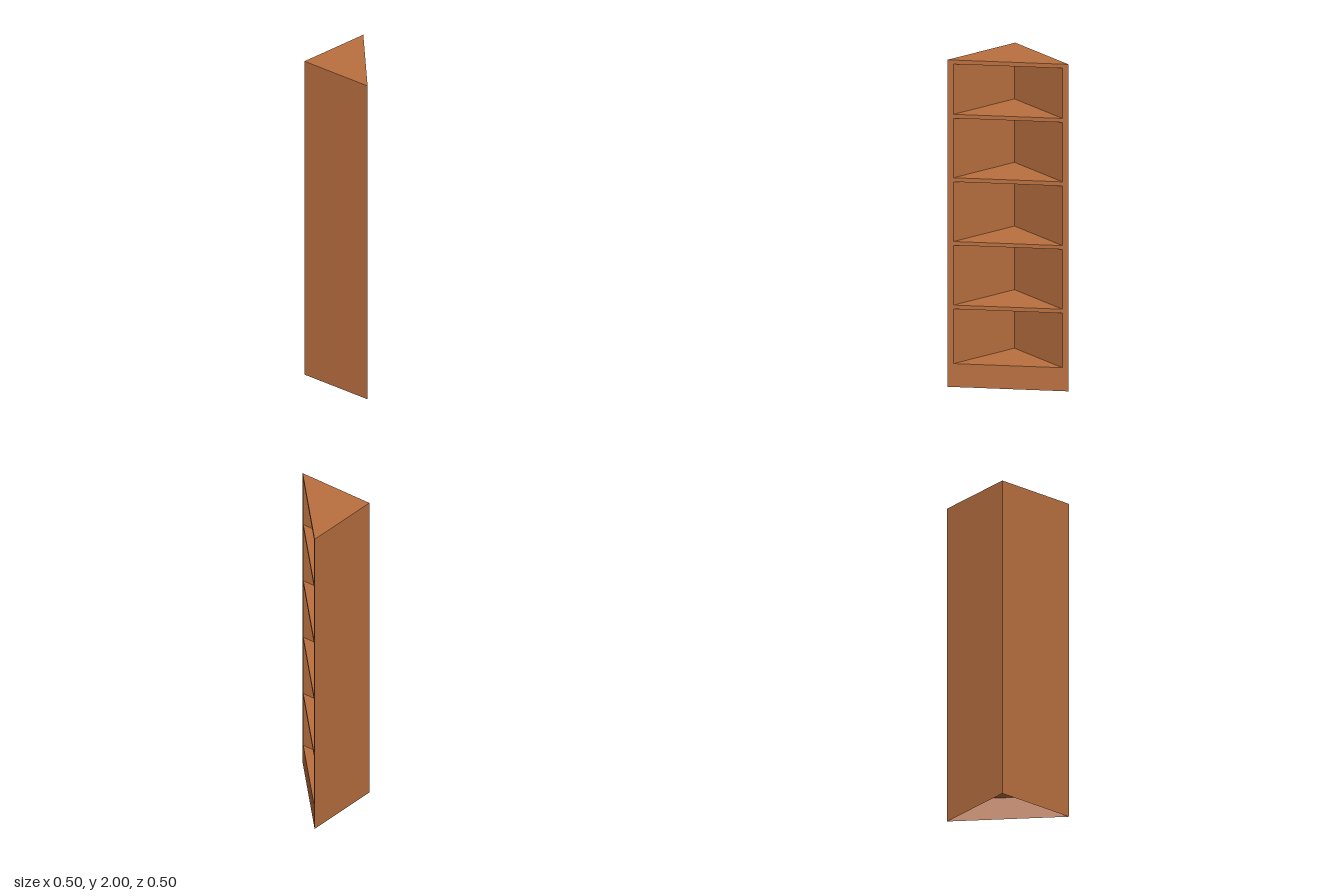
import * as THREE from 'three';

const HALF = 0.25;      // half of each wall's length
const INNER = 0.225;    // the same for the inside of the walls
const FLOOR = 0.143;    // top of the lowest shelf
const HEIGHT = 2;

const wood = new THREE.MeshStandardMaterial({ color: 0xba7040 });
const thinWood = new THREE.MeshStandardMaterial({ color: 0xba7040, side: THREE.DoubleSide });

// Upright prism from a plan outline of [x, z] corners, between two heights
function prism(name, corners, bottom, top) {
  const shape = new THREE.Shape(corners.map(([x, z]) => new THREE.Vector2(x, -z)));
  const geometry = new THREE.ExtrudeGeometry(shape, { depth: top - bottom, bevelEnabled: false });
  geometry.rotateX(-Math.PI / 2);
  geometry.translate(0, bottom, 0);
  const mesh = new THREE.Mesh(geometry, wood);
  mesh.name = name;
  return mesh;
}

// Right-angled corner triangle whose long side faces the room
const triangle = (s) => [[-s, -s], [-s, s], [s, -s]];

// Thin upright panel standing on the ground between two plan points
function panel(name, [x1, z1], [x2, z2], height) {
  const mesh = new THREE.Mesh(new THREE.PlaneGeometry(Math.hypot(x2 - x1, z2 - z1), height), thinWood);
  mesh.position.set((x1 + x2) / 2, height / 2, (z1 + z2) / 2);
  mesh.rotation.y = Math.atan2(z1 - z2, x2 - x1);
  mesh.name = name;
  return mesh;
}

export function createModel() {
  const group = new THREE.Group();
  group.name = 'cornerBookcase';

  // Two walls meeting in the corner, cut flush with the diagonal front
  const [corner, frontEnd, sideEnd] = triangle(HALF);
  const [innerCorner, innerFront, innerSide] = triangle(INNER);
  const base = FLOOR - 0.006;
  group.add(prism('walls', [corner, frontEnd, innerFront, innerCorner, innerSide, sideEnd], base, HEIGHT));

  // Lowest shelf, the four shelves above it and the top board
  group.add(prism('bottomShelf', triangle(INNER), base, FLOOR));
  [[0.477, 0.501], [0.867, 0.89], [1.255, 1.28], [1.644, 1.668]].forEach(([bottom, top], i) => {
    group.add(prism(`shelf${i + 1}`, triangle(INNER), bottom, top));
  });
  group.add(prism('topBoard', triangle(INNER), 1.975, HEIGHT));

  // Hollow plinth, open underneath
  const plinth = new THREE.Group();
  plinth.name = 'plinth';
  plinth.add(
    panel('plinthFront', frontEnd, sideEnd, FLOOR),
    panel('plinthBack', sideEnd, corner, base),
    panel('plinthSide', corner, frontEnd, base),
  );
  group.add(plinth);

  return group;
}
